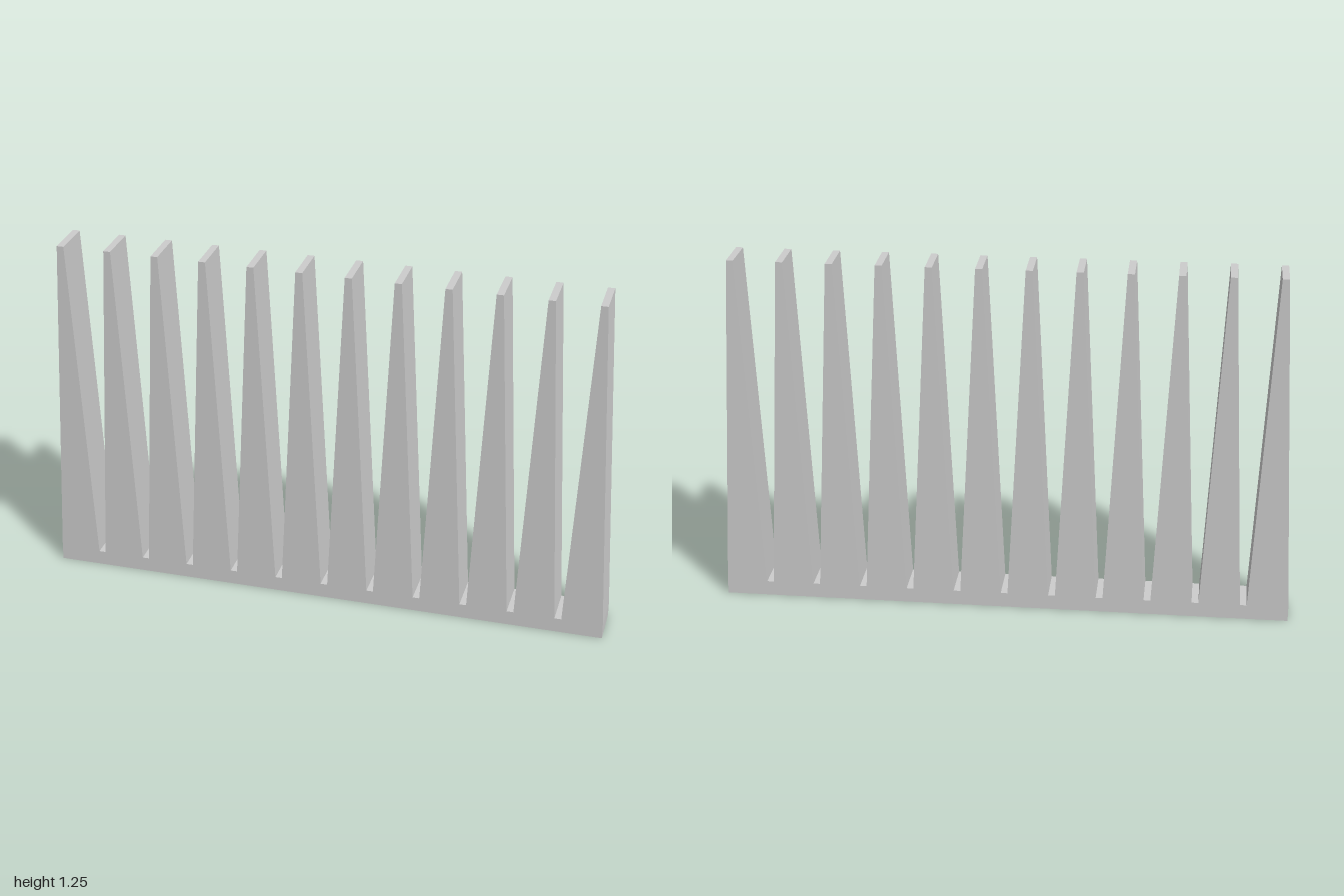
import * as THREE from 'three';

const TEETH = 12;
const LENGTH = 2;
const HEIGHT = 1.255;
const DEPTH = 0.15;
const BASE = 0.053;       // height of the solid bar
const GAP = 0.024;        // flat valley between teeth
const TIP = 0.024;        // flat width of each tip

export function createModel() {
  const group = new THREE.Group();
  group.name = 'comb';

  const root = (LENGTH - GAP * (TEETH - 1)) / TEETH; // tooth width at the bar
  const pitch = root + GAP;

  // Comb outline: bar along the bottom, tapered teeth above
  const outline = new THREE.Shape();
  outline.moveTo(-LENGTH / 2, 0);
  outline.lineTo(LENGTH / 2, 0);
  for (let i = TEETH - 1; i >= 0; i--) {
    const x = -LENGTH / 2 + root / 2 + i * pitch;
    outline.lineTo(x + root / 2, BASE);
    outline.lineTo(x + TIP / 2, HEIGHT);
    outline.lineTo(x - TIP / 2, HEIGHT);
    outline.lineTo(x - root / 2, BASE);
  }
  outline.closePath();

  const geometry = new THREE.ExtrudeGeometry(outline, { depth: DEPTH, bevelEnabled: false });
  geometry.translate(0, 0, -DEPTH / 2);

  const material = new THREE.MeshStandardMaterial({ color: 0xcccccc, flatShading: true });
  const comb = new THREE.Mesh(geometry, material);
  comb.name = 'toothedBar';
  group.add(comb);
  return group;
}
